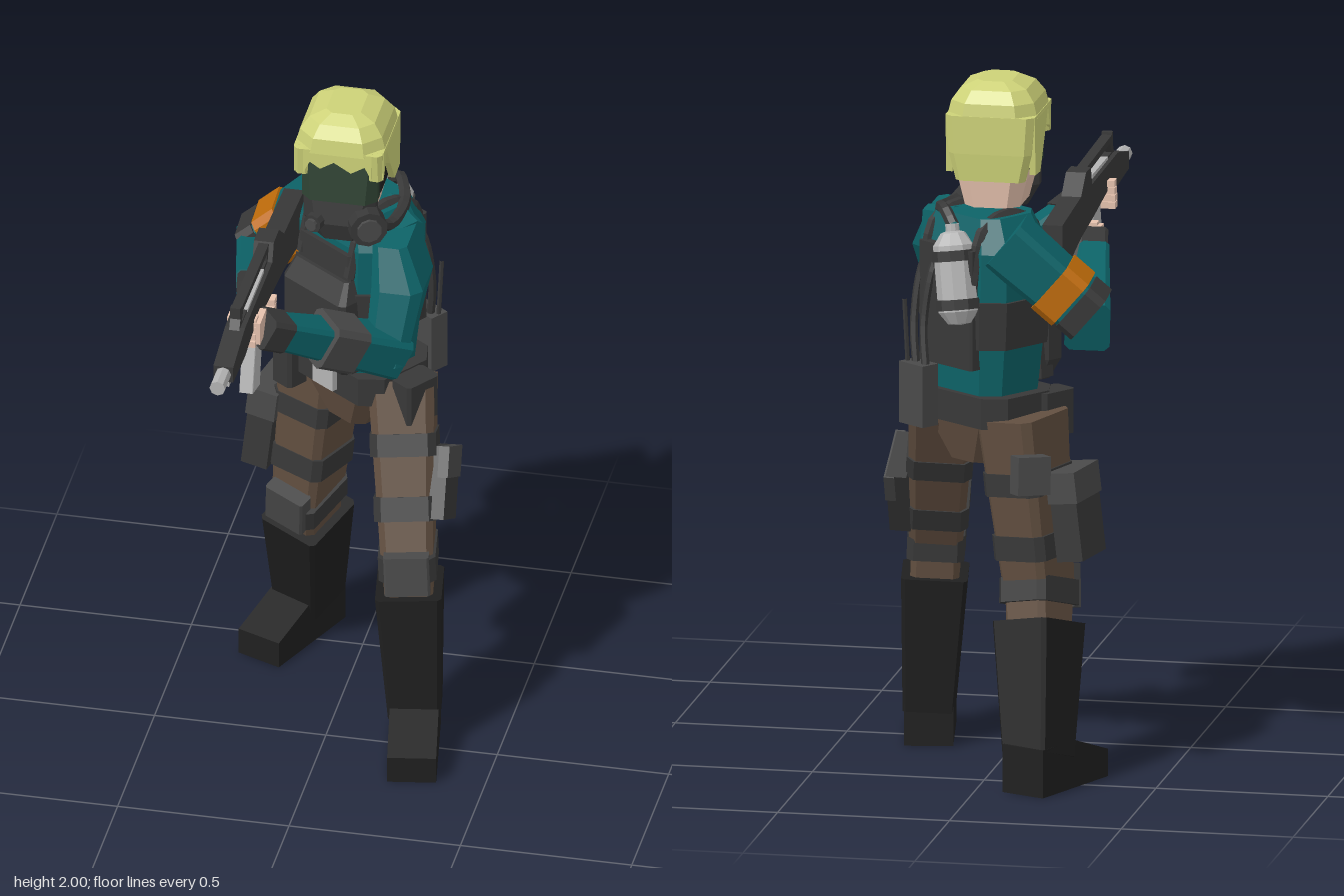
import * as THREE from 'three';
import { ConvexGeometry } from 'three/addons/geometries/ConvexGeometry.js';

const C = { teal: 0x0d6368, brown: 0x624f40, black: 0x1f1f1f, dark: 0x383838, mid: 0x4a4a4a, light: 0xb4b4b4,
  skin: 0xe6c2ae, hair: 0xcdd278, orange: 0xc06c0a, visor: 0x2f4233 };
const V = (p) => new THREE.Vector3(...p);
const mix = (a, b, t) => a.map((v, i) => v + (b[i] - v) * t);
const shapeOf = (pts) => new THREE.Shape(pts.map((q) => new THREE.Vector2(...q)));
const FRONT = [0, 0, 1];

function add(parent, name, color, geo) {
  const m = new THREE.Mesh(geo, new THREE.MeshStandardMaterial({ color, flatShading: true }));
  m.name = name;
  parent.add(m);
  return m;
}

// Tapered block from a to b with bevelled corners; sizes are [width, depth], ref is the depth direction,
// axis is the normal of both end faces.
function seg(parent, name, color, a, b, sa, sb = sa, ref = FRONT, bevel = 0.12, axis = b.map((v, i) => v - a[i])) {
  const A = V(a), B = V(b), Y = V(axis).normalize();
  const X = Y.clone().cross(V(ref)).normalize(), Z = X.clone().cross(Y);
  const pts = [];
  for (const [P, [w, d]] of [[A, sa], [B, sb]]) {
    const k = bevel * Math.min(w, d);
    for (const sx of [-1, 1]) for (const sz of [-1, 1]) for (const [cx, cz] of [[k, 0], [0, k]])
      pts.push(P.clone().addScaledVector(X, sx * (w / 2 - cx)).addScaledVector(Z, sz * (d / 2 - cz)));
  }
  return add(parent, name, color, new ConvexGeometry(pts));
}

// Block around part of a limb, from fraction t0 to t1 of the line a-b.
const band = (p, name, color, a, b, t0, t1, size, ref) =>
  seg(p, name, color, mix(a, b, t0), mix(a, b, t1), size, size, ref);

// Chain of level sections [x, y, z, width, depth].
function stack(p, name, color, rows, bevel = 0.2) {
  for (let i = 0; i + 1 < rows.length; i++) {
    const [r, s] = [rows[i], rows[i + 1]];
    seg(p, name, color, r.slice(0, 3), s.slice(0, 3), r.slice(3), s.slice(3), FRONT, bevel, [0, 1, 0]);
  }
}

// Side profile of [z, y] points, extruded across x.
function side(p, name, color, pts, width, x = 0, hole = null) {
  const s = shapeOf(pts);
  if (hole) s.holes.push(shapeOf(hole));
  const g = new THREE.ExtrudeGeometry(s, { depth: width, bevelEnabled: false });
  g.translate(0, 0, -width / 2).rotateY(-Math.PI / 2).translate(x, 0, 0);
  return add(p, name, color, g);
}

function hose(p, name, pts, r) {
  return add(p, name, C.dark, new THREE.TubeGeometry(new THREE.CatmullRomCurve3(pts.map(V)), 14, r, 6));
}

function box(p, name, color, pos, size, rot = [0, 0, 0]) {
  const m = add(p, name, color, new THREE.BoxGeometry(...size));
  m.position.set(...pos);
  m.rotation.set(...rot);
  return m;
}

function group(parent, name, pos = [0, 0, 0], yaw = 0) {
  const g = new THREE.Group();
  g.name = name;
  g.position.set(...pos);
  g.rotation.y = yaw;
  parent.add(g);
  return g;
}

function leg(root, name, hip, knee, ankle, yaw) {
  const g = group(root, name), f = [Math.sin(yaw), 0, Math.cos(yaw)];
  seg(g, 'thigh', C.brown, hip, knee, [0.19, 0.23], [0.15, 0.175], f);
  band(g, 'upperThighStrap', C.dark, hip, knee, 0.3, 0.43, [0.19, 0.22], f);
  band(g, 'lowerThighStrap', C.dark, hip, knee, 0.66, 0.8, [0.18, 0.2], f);
  const top = mix(knee, ankle, 0.2);
  seg(g, 'knee', C.brown, knee, top, [0.14, 0.17], [0.14, 0.16], f);
  band(g, 'kneeStrap', C.dark, knee, ankle, -0.06, 0.09, [0.165, 0.2], f);
  const out = (y, r) => mix(knee, ankle, (knee[1] - y) / (knee[1] - ankle[1])).map((v, i) => v + f[i] * r);
  seg(g, 'kneePad', C.mid, out(knee[1] - 0.07, 0.1), out(knee[1] + 0.05, 0.095), [0.13, 0.05], [0.13, 0.05], f);
  seg(g, 'bootShaft', C.black, top, ankle, [0.19, 0.21], [0.15, 0.16], f, 0.06);
  const foot = group(g, 'foot', [ankle[0], 0, ankle[2]], yaw);
  side(foot, 'bootFoot', C.black, [[-0.08, 0], [0.25, 0], [0.25, 0.08], [0.08, 0.14], [-0.08, 0.14]], 0.14);
}

function hand(root, name, x, y, z, s) {
  const g = group(root, name, [x, y, z]);
  box(g, 'palm', C.skin, [s * 0.035, 0, 0], [0.03, 0.07, 0.085]);
  for (let i = 0; i < 4; i++) box(g, 'finger', C.skin, [-s * 0.005, -0.032 + i * 0.022, 0.035 - i * 0.004], [0.085, 0.019, 0.035]);
}

function buildTorso(root) {
  const g = group(root, 'torso', [0.035, 0, -0.325], -0.62);
  stack(g, 'jacketLower', C.teal, [[0, 1.1, 0, 0.29, 0.23], [0, 1.27, 0, 0.33, 0.25]]);
  stack(g, 'vestBand', C.dark, [[0, 1.26, 0, 0.35, 0.27], [0, 1.4, 0, 0.37, 0.28]]);
  stack(g, 'jacketUpper', C.teal, [[0, 1.4, 0, 0.35, 0.26], [0, 1.54, 0, 0.36, 0.26], [0, 1.635, 0, 0.26, 0.2]]);
  seg(g, 'chestPlate', C.dark, [0, 1.14, 0.13], [0, 1.52, 0.12], [0.25, 0.06], [0.21, 0.05]);
  stack(g, 'chestPouch', C.dark, [[0, 1.13, 0.14, 0.21, 0.05], [0, 1.19, 0.155, 0.26, 0.08], [0, 1.38, 0.155, 0.26, 0.08], [0, 1.44, 0.135, 0.22, 0.05]]);
  seg(g, 'backPlate', C.dark, [0, 1.2, -0.13], [0, 1.55, -0.13], [0.22, 0.05]);
  for (const x of [-0.1, 0.1]) {
    hose(g, 'shoulderStrap', [[x, 1.45, 0.14], [x, 1.6, 0.09], [x * 0.95, 1.635, 0], [x, 1.6, -0.1], [x, 1.45, -0.14]], 0.018);
  }
  // belt and its pouches
  stack(g, 'belt', C.dark, [[0, 1.03, 0, 0.37, 0.27], [0, 1.12, 0, 0.37, 0.27]]);
  box(g, 'buckle', C.light, [0, 1.08, 0.14], [0.085, 0.07, 0.025]);
  stack(g, 'pelvis', C.brown, [[0, 0.91, 0, 0.15, 0.17], [0, 1.05, 0, 0.33, 0.25]]);
  for (const [x, z] of [[0.225, 0], [-0.16, 0.11]]) seg(g, 'beltPouch', C.dark, [x, 0.985, z], [x, 1.115, z], [0.08, 0.12]);
}

function buildAirTank(root) {
  const g = group(root, 'airTank', [0.085, 1.47, -0.48]);
  g.rotation.set(0.18, 0, -0.12);
  const profile = [[0, -0.14], [0.035, -0.135], [0.06, -0.1], [0.06, 0.09], [0.035, 0.125], [0.02, 0.13], [0.02, 0.15], [0, 0.15]];
  add(g, 'cylinder', C.light, new THREE.LatheGeometry(profile.map((p) => new THREE.Vector2(...p)), 10));
  for (const y of [-0.08, 0.06]) add(g, 'clamp', C.dark, new THREE.CylinderGeometry(0.066, 0.066, 0.03, 10)).position.y = y;
  hose(root, 'breathingHose', [[0.1, 1.61, -0.45], [0.13, 1.645, -0.41], [0.165, 1.63, -0.3], [0.145, 1.625, -0.18], [0.11, 1.67, -0.12]], 0.018);
  // radio with its cables
  box(root, 'radio', C.mid, [0.205, 1.11, -0.43], [0.1, 0.18, 0.06], [0, 2.5, 0]);
  for (const s of [0, 0.035]) {
    hose(root, 'radioCable', [[0.18 + s, 1.18, -0.45 + s], [0.19 + s, 1.32, -0.43 + s], [0.16 + s, 1.5, -0.41 + s], [0.11, 1.6, -0.36]], 0.012);
  }
  hose(root, 'antenna', [[0.24, 1.18, -0.41], [0.25, 1.38, -0.41]], 0.007);
}

function buildHead(root) {
  const g = group(root, 'head', [0.015, 0, -0.22]);
  stack(g, 'neck', C.skin, [[0, 1.58, -0.04, 0.12, 0.13], [0, 1.68, -0.02, 0.14, 0.15]]);
  stack(g, 'face', C.skin, [[0, 1.64, -0.02, 0.16, 0.2], [0, 1.72, -0.015, 0.2, 0.225], [0, 1.93, -0.01, 0.22, 0.23]]);
  // breathing mask
  stack(g, 'maskStrap', C.black, [[0, 1.75, -0.005, 0.226, 0.24], [0, 1.83, -0.005, 0.226, 0.24]]);
  stack(g, 'maskJaw', C.dark, [[0, 1.61, 0.08, 0.14, 0.09], [0, 1.67, 0.085, 0.21, 0.12], [0, 1.75, 0.09, 0.21, 0.08]], 0.35);
  stack(g, 'visor', C.visor, [[0, 1.74, 0.085, 0.22, 0.1], [0, 1.87, 0.085, 0.22, 0.07]], 0.3);
  for (const [x, r] of [[0.085, 0.055], [-0.06, 0.028]]) {
    const f = add(g, 'filter', C.dark, new THREE.CylinderGeometry(r, r, 0.06, 10));
    f.position.set(x, 1.675, 0.13);
    f.rotation.set(Math.PI / 2, 0, -x * 5);
    const cap = add(f, 'filterCap', C.mid, new THREE.CylinderGeometry(r * 0.65, r * 0.65, 0.012, 10));
    cap.position.y = 0.034;
  }
  // hair
  stack(g, 'hairCap', C.hair, [[0, 1.9, 0, 0.262, 0.28], [0, 1.945, 0, 0.24, 0.265], [0, 1.98, 0, 0.19, 0.215], [0, 2.0, 0, 0.1, 0.14]]);
  stack(g, 'backHair', C.hair, [[0, 1.72, -0.11, 0.2, 0.05], [0, 1.8, -0.11, 0.24, 0.06], [0, 1.91, -0.105, 0.26, 0.07]], 0.3);
  for (const s of [-1, 1]) {
    side(g, 'sideHair', C.hair, [[0.115, 1.91], [0.115, 1.82], [0.095, 1.84], [0.07, 1.9], [0.02, 1.82], [-0.04, 1.735], [-0.11, 1.74], [-0.12, 1.91]], 0.018, s * 0.121);
    seg(g, 'foreLock', C.hair, [s * 0.106, 1.82, 0.112], [s * 0.108, 1.91, 0.115], [0.04, 0.03], [0.042, 0.045], FRONT, 0.3);
  }
  const fringe = [[-0.1, 1.91], [-0.1, 1.83], [-0.08, 1.87], [-0.05, 1.85], [-0.01, 1.875], [0.04, 1.845], [0.08, 1.87], [0.1, 1.83], [0.1, 1.91]];
  const fg = new THREE.ExtrudeGeometry(shapeOf(fringe), { depth: 0.018, bevelEnabled: false });
  add(g, 'fringe', C.hair, fg).position.z = 0.12;
}

function buildArms(root) {
  const up = [0, 1, 0.2];
  // left arm reaching across to the front grip
  const L = group(root, 'leftArm'), le = [0.165, 1.3, -0.03], lh = [-0.12, 1.51, 0.26];
  seg(L, 'shoulder', C.teal, [0.08, 1.55, -0.3], [0.18, 1.54, -0.2], [0.16, 0.16], [0.15, 0.14], up);
  stack(L, 'upperArm', C.teal, [[0.165, 1.61, -0.175, 0.1, 0.19], [0.195, 1.49, -0.13, 0.15, 0.2], [0.17, 1.27, -0.045, 0.12, 0.13]]);
  seg(L, 'forearm', C.teal, [0.185, 1.285, -0.055], lh, [0.14, 0.13], [0.08, 0.085], up);
  band(L, 'elbowPad', C.mid, le, lh, 0.28, 0.55, [0.135, 0.14], up);
  band(L, 'cuff', C.dark, le, lh, 0.86, 1.03, [0.1, 0.1], up);
  hand(root, 'leftHand', -0.17, 1.535, 0.29, 1);
  // right arm, elbow out
  const R = group(root, 'rightArm'), rs = [-0.05, 1.57, -0.435], re = [-0.295, 1.36, -0.415], rh = [-0.215, 1.47, 0.03];
  seg(R, 'upperArm', C.teal, rs, re, [0.16, 0.165], [0.14, 0.15]);
  band(R, 'armBand', C.orange, rs, re, 0.55, 0.79, [0.165, 0.17]);
  band(R, 'elbowPad', C.dark, rs, re, 0.82, 1.0, [0.155, 0.16]);
  seg(R, 'forearm', C.teal, [-0.29, 1.33, -0.45], mix(re, rh, 0.8), [0.13, 0.15], [0.085, 0.09], up);
  band(R, 'cuff', C.dark, re, rh, 0.78, 1.0, [0.075, 0.085], up);
  hand(root, 'rightHand', -0.175, 1.465, 0.065, -1);
}

function buildRifle(root) {
  const g = group(root, 'rifle', [-0.168, 0, 0]);
  side(g, 'body', C.dark, [[0.61, 1.54], [0.61, 1.59], [0.45, 1.625], [0.08, 1.62], [0.06, 1.675], [-0.01, 1.675], [-0.08, 1.62],
    [-0.35, 1.6], [-0.35, 1.47], [-0.28, 1.46], [-0.08, 1.5], [0.1, 1.52], [0.32, 1.55], [0.45, 1.53]], 0.058);
  side(g, 'carryHandle', C.dark, [[0.47, 1.61], [0.43, 1.68], [0.06, 1.67], [0.06, 1.61]], 0.03, 0, [[0.43, 1.63], [0.41, 1.66], [0.09, 1.65], [0.09, 1.63]]);
  box(g, 'rail', C.light, [0, 1.627, 0.25], [0.035, 0.012, 0.22]);
  box(g, 'underRail', C.light, [0, 1.525, 0.52], [0.03, 0.014, 0.16]);
  const barrel = add(g, 'barrel', C.light, new THREE.CylinderGeometry(0.023, 0.023, 0.1, 8));
  barrel.position.set(0, 1.565, 0.64);
  barrel.rotation.x = Math.PI / 2;
  box(g, 'frontSight', C.dark, [0, 1.67, 0.44], [0.03, 0.035, 0.02]);
  seg(g, 'pistolGrip', C.dark, [0, 1.52, 0.08], [0, 1.4, 0.05], [0.04, 0.055]);
  seg(g, 'magazine', C.light, [0, 1.54, 0.19], [0, 1.3, 0.255], [0.04, 0.09], [0.04, 0.1], FRONT, 0.05);
}

export function createModel() {
  const root = new THREE.Group();
  root.name = 'soldier';
  leg(root, 'leftLeg', [0.165, 1.06, -0.275], [0.225, 0.6, -0.07], [0.25, 0.1, -0.05], 0.17);
  leg(root, 'rightLeg', [-0.095, 1.06, -0.42], [-0.145, 0.55, -0.425], [-0.175, 0.1, -0.585], -0.4);
  buildTorso(root);
  buildAirTank(root);
  buildHead(root);
  buildArms(root);
  buildRifle(root);
  // thigh packs
  const lp = box(root, 'leftThighPack', C.dark, [0.3, 0.785, -0.175], [0.06, 0.21, 0.19], [-0.52, 0, 0.04]);
  box(lp, 'packFlap', C.mid, [0.02, 0.06, 0], [0.03, 0.09, 0.2]);
  const rp = box(root, 'rightThighPack', C.dark, [-0.255, 0.78, -0.43], [0.08, 0.25, 0.17], [0, -0.2, -0.12]);
  box(rp, 'packFlap', C.mid, [0, 0.09, 0], [0.09, 0.09, 0.18]);
  box(root, 'rearThighPouch', C.mid, [-0.15, 0.92, -0.575], [0.1, 0.11, 0.06], [0.1, 0.6, 0]);
  return root;
}
